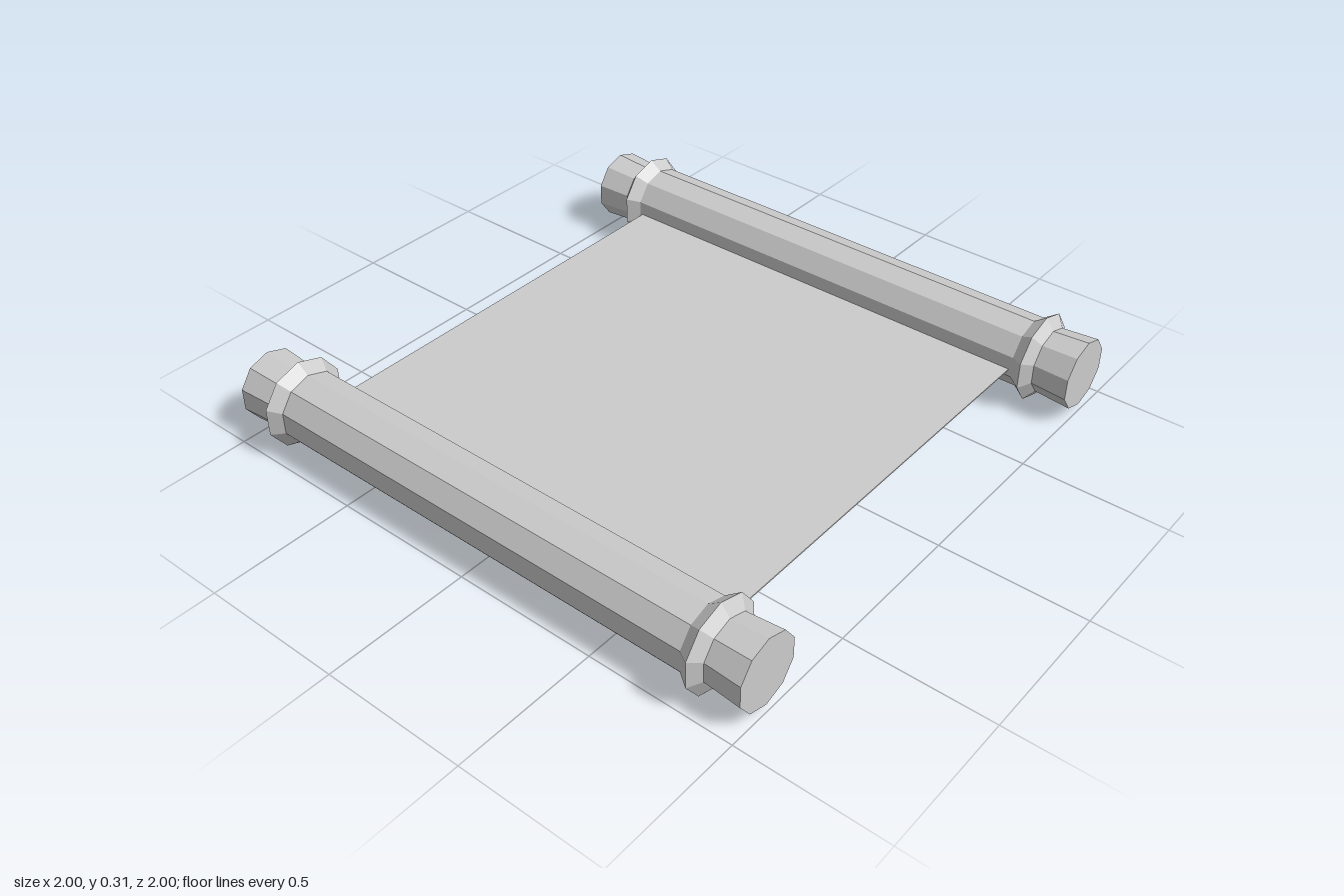
import * as THREE from 'three';

const material = new THREE.MeshStandardMaterial({ color: 0xcccccc, flatShading: true });
const AXIS_Y = 0.155;
const AXIS_Z = 0.855;

// Ten-sided roller lying along x: flared handle, collar, shaft, collar, flared handle
function createRoller(name, z) {
  const half = [[0.8, 0.122], [0.843, 0.153], [0.873, 0.113], [1, 0.122], [1, 0]];
  const profile = [
    ...half.map(([x, r]) => new THREE.Vector2(r, -x)).reverse(),
    ...half.map(([x, r]) => new THREE.Vector2(r, x)),
  ];
  const geometry = new THREE.LatheGeometry(profile, 10, Math.PI / 2);
  geometry.rotateZ(-Math.PI / 2);
  const roller = new THREE.Mesh(geometry, material);
  roller.name = name;
  roller.position.set(0, AXIS_Y, z);
  return roller;
}

export function createModel() {
  const scroll = new THREE.Group();
  scroll.name = 'scroll';

  scroll.add(createRoller('frontRoller', AXIS_Z), createRoller('backRoller', -AXIS_Z));

  // Thin sheet stretched between the rollers, its ends tucked inside them
  const sheet = new THREE.Mesh(new THREE.BoxGeometry(1.58, 0.005, 1.52), material);
  sheet.name = 'sheet';
  sheet.position.y = 0.141;
  scroll.add(sheet);

  return scroll;
}
